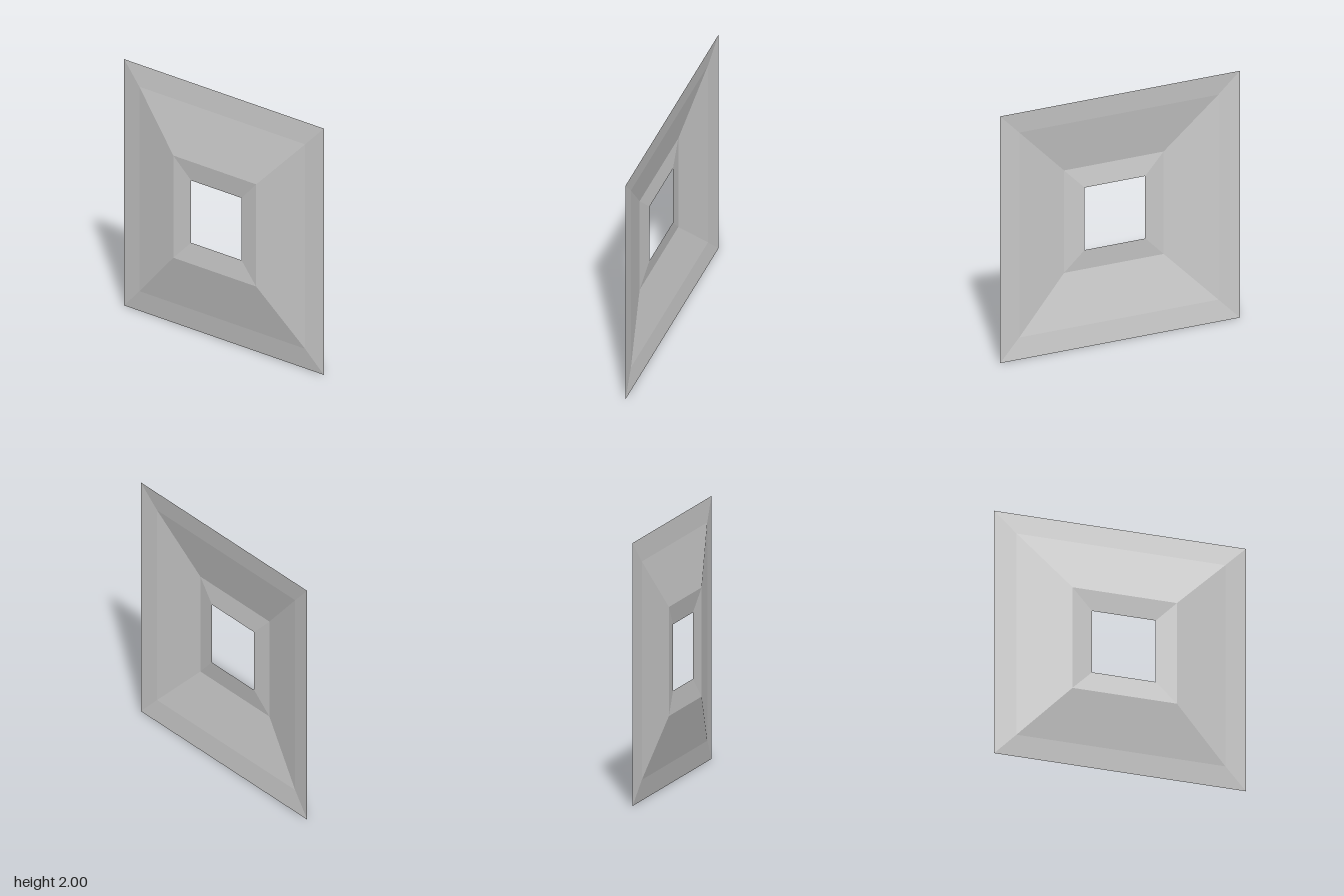
import * as THREE from 'three';

export function createModel() {
  const group = new THREE.Group();
  group.name = 'squareFrame';
  const grey = new THREE.MeshStandardMaterial({ color: 0xcccccc, flatShading: true, side: THREE.DoubleSide });
  grey.name = 'light grey';

  // One square band between two [half width, depth] rings, as a four-sided lathe facing +z
  const band = (name, outer, inner) => {
    const points = [outer, inner].map(([h, z]) => new THREE.Vector2(h * Math.SQRT2, z));
    const geometry = new THREE.LatheGeometry(points, 4, Math.PI / 4).toNonIndexed();
    geometry.rotateX(Math.PI / 2);
    geometry.translate(0, 1, 0);
    geometry.computeVertexNormals();
    const mesh = new THREE.Mesh(geometry, grey);
    mesh.name = name;
    group.add(mesh);
  };

  // Thin open sheet: shallow rim, steeper slope, then a bevel dipping into the hole
  const edge = [1, -0.052], fold = [0.83, -0.032], ridge = [0.415, 0.052], hole = [0.253, 0.034];
  band('outerRim', edge, fold);
  band('slope', fold, ridge);
  band('innerBevel', ridge, hole);

  return group;
}
